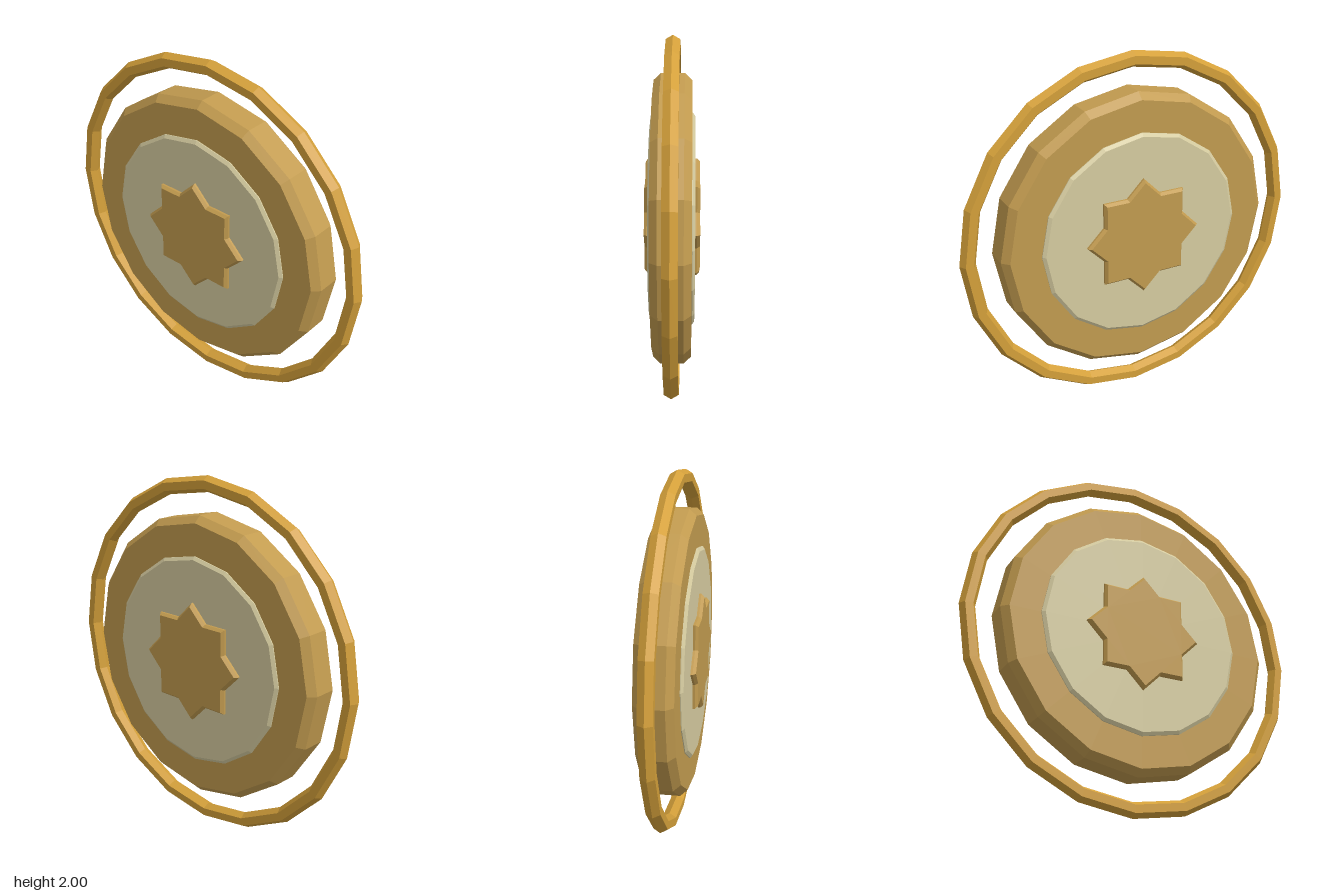
import * as THREE from 'three';

function material(name, color) {
  const m = new THREE.MeshStandardMaterial({ color, flatShading: true });
  m.name = name;
  return m;
}

// 16-sided disc facing z, with bevelled rims on both sides
function bevelledDisc(radius, faceRadius, rimHalf, faceHalf) {
  const profile = [
    [0, -faceHalf], [faceRadius, -faceHalf], [radius, -rimHalf],
    [radius, rimHalf], [faceRadius, faceHalf], [0, faceHalf],
  ].map(([r, h]) => new THREE.Vector2(r, h));
  return new THREE.LatheGeometry(profile, 16).rotateX(Math.PI / 2);
}

// Eight-pointed star made of two crossed squares
function starShape(tip) {
  const notch = tip * Math.SQRT1_2 / Math.cos(Math.PI / 8);
  const points = [];
  for (let i = 0; i < 16; i++) {
    const a = i * Math.PI / 8;
    const r = i % 2 ? notch : tip;
    points.push(new THREE.Vector2(r * Math.cos(a), r * Math.sin(a)));
  }
  return new THREE.Shape(points);
}

export function createModel() {
  const group = new THREE.Group();
  const brightGold = material('bright gold', 0xd4a03a);
  const oldGold = material('old gold', 0xc29b4f);
  const paleGold = material('pale gold', 0xd6cca0);

  const add = (name, geometry, mat) => {
    const mesh = new THREE.Mesh(geometry, mat);
    mesh.name = name;
    mesh.position.y = 1;
    group.add(mesh);
  };

  // Free-standing hexagonal outer ring
  add('outerRing', new THREE.TorusGeometry(0.956, 0.044, 6, 20), brightGold);

  // Main disc and the pale inlay showing on both faces
  add('mainDisc', bevelledDisc(0.8, 0.763, 0.064, 0.103), oldGold);
  add('paleInlay', bevelledDisc(0.588, 0.57, 0.108, 0.12), paleGold);

  // Bevelled star passing through the disc, raised on both faces
  const depth = 0.264;
  const star = new THREE.ExtrudeGeometry(starShape(0.319), {
    depth, bevelEnabled: true, bevelSegments: 1, bevelSize: 0.013, bevelThickness: 0.016,
  }).translate(0, 0, -depth / 2);
  add('star', star, oldGold);

  return group;
}
